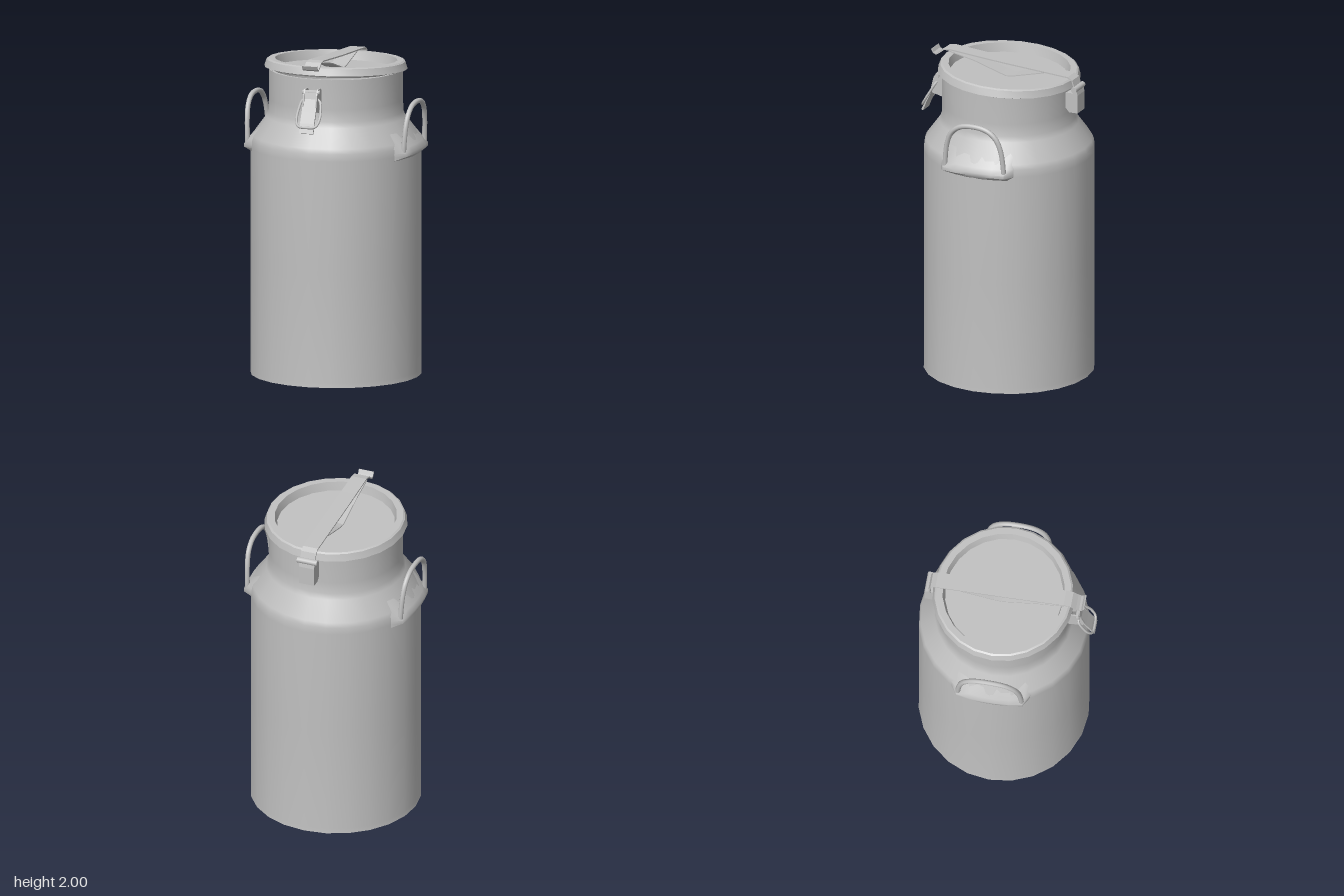
import * as THREE from 'three';
import { toCreasedNormals } from 'three/addons/utils/BufferGeometryUtils.js';

const CZ = -0.025; // centre line of the can
const SIDES = 24;

const metal = new THREE.MeshStandardMaterial({ color: 0xc0c0c0, side: THREE.DoubleSide });
metal.name = 'grey metal';

function mesh(name, geometry, parent) {
  const m = new THREE.Mesh(geometry, metal);
  m.name = name;
  parent.add(m);
  return m;
}

function lathe(profile, crease = 0.7) {
  const pts = profile.map(([r, y]) => new THREE.Vector2(r, y));
  return toCreasedNormals(new THREE.LatheGeometry(pts, SIDES), crease);
}

function wire(points, radius, segments) {
  const curve = new THREE.CatmullRomCurve3(points.map((p) => new THREE.Vector3(...p)));
  return new THREE.TubeGeometry(curve, segments, radius, 8);
}

// Extrude an outline given as [z, y] across x, centred on x
function across(outline, width, x = 0) {
  const shape = new THREE.Shape(outline.map(([z, y]) => new THREE.Vector2(z, y)));
  const g = new THREE.ExtrudeGeometry(shape, { depth: width, bevelEnabled: false });
  g.rotateY(-Math.PI / 2);
  g.translate(x + width / 2, 0, 0);
  return g;
}

// Thin bent strip following a [z, y] path
function strip(path, width, t = 0.008) {
  const side = (k) => path.map(([z, y], i) => {
    const a = path[Math.max(i - 1, 0)];
    const b = path[Math.min(i + 1, path.length - 1)];
    const l = Math.hypot(b[0] - a[0], b[1] - a[1]);
    return [z - (k * t * (b[1] - a[1])) / l / 2, y + (k * t * (b[0] - a[0])) / l / 2];
  });
  return across([...side(1), ...side(-1).reverse()], width);
}

// Body radius at a height
function bodyRadius(y) {
  return y <= 1.45 ? 0.52 : Math.max(0.41, 0.52 - ((y - 1.45) * 0.11) / 0.16);
}

// Raised pad that carries a handle, blending into the shoulder
function padGeometry() {
  const cols = [1.2, 1, 0.6, 0.2, -0.2, -0.6, -1, -1.2];
  const rows = [1.57, 1.45, 1.42, 1.4, 1.375];
  const lift = [0, 0.45, 1, 1, 0];
  const g = new THREE.PlaneGeometry(1, 1, cols.length - 1, rows.length - 1);
  const p = g.attributes.position;
  rows.forEach((y, j) => cols.forEach((s, i) => {
    const dz = s * 0.205;
    const r = bodyRadius(y);
    const base = Math.sqrt(r * r - dz * dz) - 0.006;
    const lip = 0.541 - 0.02 * s * s;
    const k = Math.abs(s) > 1 ? 0 : lift[j];
    p.setXYZ(j * cols.length + i, base + (lip - base) * k, y, dz);
  }));
  return toCreasedNormals(g, 0.9);
}

export function createModel() {
  const model = new THREE.Group();
  model.name = 'milkCan';

  // Body: recessed base, straight wall, sloped shoulder, neck and mouth
  const body = mesh('body', lathe([
    [0, 0.055], [0.465, 0.055], [0.495, 0], [0.522, 0], [0.52, 0.03], [0.52, 0.7], [0.52, 1.4],
    [0.519, 1.445], [0.508, 1.475], [0.425, 1.59], [0.411, 1.625], [0.409, 1.7],
    [0.409, 1.885], [0.39, 1.885], [0.39, 1.62], [0, 1.6],
  ]), model);
  body.position.z = CZ;

  // Tilted lid with a flared rim and sunken top
  const lid = mesh('lid', lathe([
    [0, -0.012], [0.38, -0.012], [0.39, 0.002], [0.43, 0.002], [0.437, 0.005],
    [0.423, 0.048], [0.412, 0.055], [0.373, 0.055], [0.36, 0], [0, 0],
  ], 0.5), model);
  lid.position.set(0, 1.885, CZ);
  lid.rotation.x = -0.056;

  // Side handles on pads
  for (const [name, turn] of [['leftHandle', 0], ['rightHandle', Math.PI]]) {
    const handle = new THREE.Group();
    handle.name = name;
    handle.position.z = CZ;
    handle.rotation.y = turn;
    const half = [[0.5, 1.4, 0.196], [0.503, 1.47, 0.194], [0.509, 1.58, 0.178],
      [0.514, 1.65, 0.147], [0.517, 1.694, 0.09]];
    const path = [...half, [0.518, 1.708, 0], ...half.map(([x, y, z]) => [x, y, -z]).reverse()];
    mesh('handleBar', wire(path, 0.016, 36), handle);
    mesh('handlePad', padGeometry(), handle);
    model.add(handle);
  }

  // Closing strap over the lid, with a pressing spring below it
  mesh('strap', strip([
    [0.473, 1.984], [0.462, 1.962], [0.445, 1.953], [0.425, 1.965], [0.394, 1.99], [0.35, 1.996],
    [0.18, 1.981], [0, 1.966], [-0.44, 1.936], [-0.468, 1.92], [-0.484, 1.87],
  ], 0.097), model);
  mesh('strapSpring', strip([
    [0.36, 1.988], [0.19, 1.953], [0.01, 1.897], [-0.03, 1.886], [-0.08, 1.893], [-0.28, 1.943],
  ], 0.1, 0.006), model);

  // Rear hinge
  const hinge = new THREE.Group();
  hinge.name = 'hinge';
  const pin = mesh('hingePin', new THREE.CylinderGeometry(0.019, 0.019, 0.13, 10), hinge);
  pin.rotation.z = Math.PI / 2;
  pin.position.set(0, 1.866, -0.488);
  mesh('hingeBracket', across([
    [-0.42, 1.84], [-0.478, 1.84], [-0.484, 1.866], [-0.5, 1.866], [-0.507, 1.83],
    [-0.507, 1.715], [-0.45, 1.715], [-0.42, 1.75],
  ], 0.1), hinge);
  model.add(hinge);

  // Front latch: cheeks, lever and wire bail
  const latch = new THREE.Group();
  latch.name = 'latch';
  for (const s of [-1, 1]) {
    mesh('latchCheek', across([
      [0.37, 1.68], [0.39, 1.68], [0.47, 1.7], [0.478, 1.735], [0.462, 1.8],
      [0.44, 1.835], [0.4, 1.835], [0.37, 1.82],
    ], 0.008, s * 0.041), latch);
  }
  mesh('latchBase', strip([[0.388, 1.69], [0.388, 1.82]], 0.09), latch);
  mesh('latchLever', strip([
    [0.44, 1.825], [0.452, 1.775], [0.485, 1.7], [0.515, 1.635], [0.538, 1.577],
  ], 0.09, 0.012), latch);
  const latchPin = mesh('latchPin', new THREE.CylinderGeometry(0.014, 0.014, 0.11, 8), latch);
  latchPin.rotation.z = Math.PI / 2;
  latchPin.position.set(0, 1.815, 0.435);
  const bailHalf = [[0.035, 1.775, 0.44], [0.056, 1.765, 0.445], [0.071, 1.71, 0.475],
    [0.073, 1.66, 0.505], [0.055, 1.62, 0.53]];
  mesh('latchBail', wire([
    ...bailHalf, [0, 1.614, 0.535], ...bailHalf.map(([x, y, z]) => [-x, y, z]).reverse(),
  ], 0.008, 40), latch);
  model.add(latch);

  return model;
}
